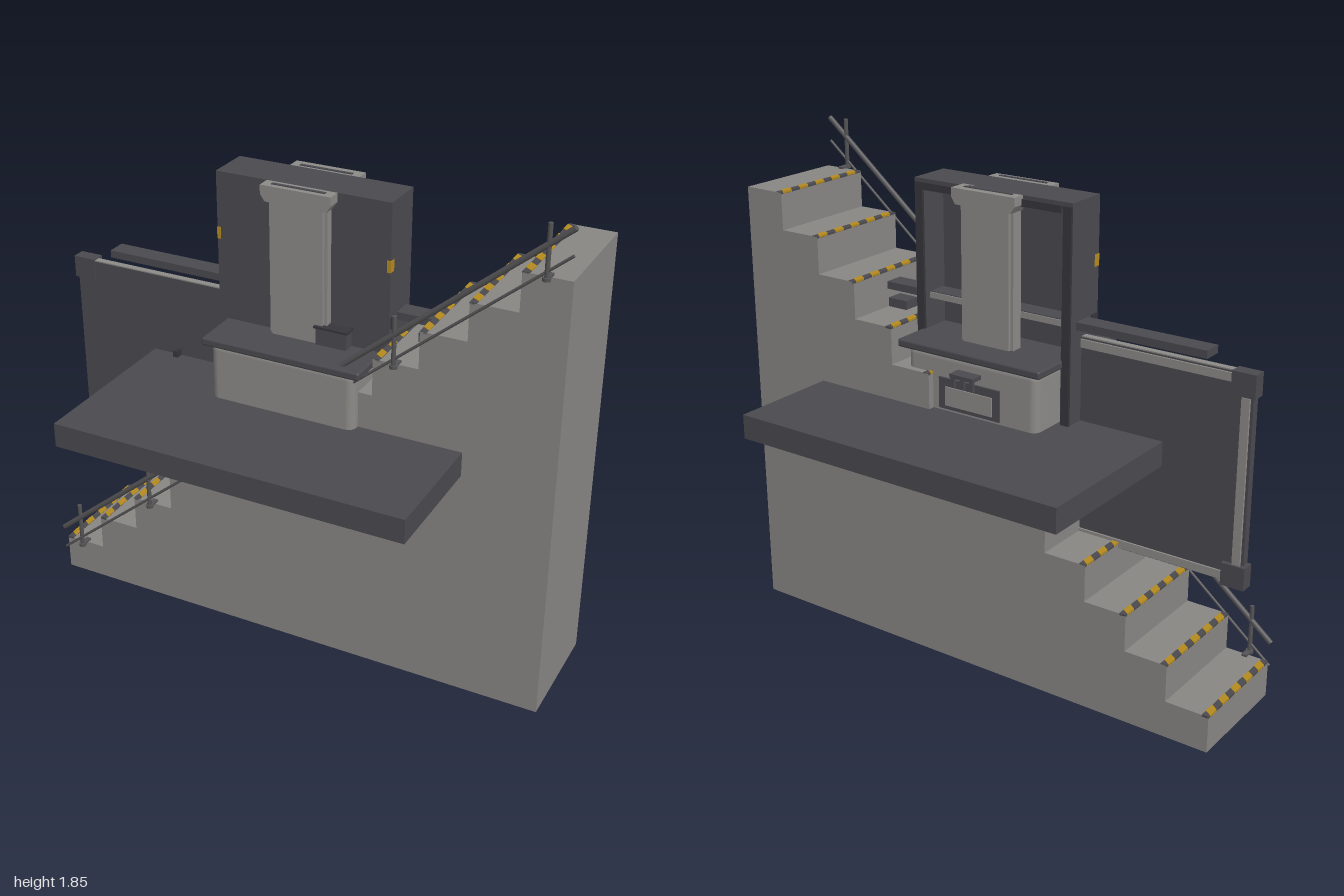
import * as THREE from 'three';
import { RoundedBoxGeometry } from 'three/addons/geometries/RoundedBoxGeometry.js';

const mat = (name, color) => {
  const m = new THREE.MeshStandardMaterial({ color });
  m.name = name;
  return m;
};

export function createModel() {
  const root = new THREE.Group();
  root.name = 'stairLift';
  const concrete = mat('concrete grey', 0x888683);
  const shell = mat('shell grey', 0x8c8a87);
  const dark = mat('charcoal', 0x4a494f);
  const steel = mat('rail steel', 0x545355);
  const yellow = mat('warning yellow', 0xb48a20);
  const black = mat('black trim', 0x36353a);

  const add = (name, geo, material, parent = root) => {
    const m = new THREE.Mesh(geo, material);
    m.name = name;
    parent.add(m);
    return m;
  };
  // Box given by its minimum and maximum on each axis
  const box = (name, material, x0, x1, y0, y1, z0, z1, parent = root) => {
    const m = add(name, new THREE.BoxGeometry(x1 - x0, y1 - y0, z1 - z0), material, parent);
    m.position.set((x0 + x1) / 2, (y0 + y1) / 2, (z0 + z1) / 2);
    return m;
  };
  const rounded = (name, material, x0, x1, y0, y1, z0, z1, r, parent = root) => {
    const m = add(name, new RoundedBoxGeometry(x1 - x0, y1 - y0, z1 - z0, 3, r), material, parent);
    m.position.set((x0 + x1) / 2, (y0 + y1) / 2, (z0 + z1) / 2);
    return m;
  };
  // Round bar between two points
  const bar = (name, material, a, b, r, parent = root) => {
    const p = new THREE.Vector3(...a), q = new THREE.Vector3(...b);
    const d = q.clone().sub(p);
    const m = add(name, new THREE.CylinderGeometry(r, r, d.length(), 12), material, parent);
    m.position.copy(p).add(q).multiplyScalar(0.5);
    m.quaternion.setFromUnitVectors(new THREE.Vector3(0, 1, 0), d.normalize());
    return m;
  };

  // Staircase: one stepped profile pushed along z
  const steps = 12, run = 0.1658, rise = 0.1385, zBack = -0.24, zFront = 0.2;
  const profile = new THREE.Shape();
  profile.moveTo(-1, 0);
  for (let i = 0; i < steps; i++) {
    profile.lineTo(-1 + i * run, (i + 1) * rise);
    profile.lineTo(-1 + (i + 1) * run, (i + 1) * rise);
  }
  profile.lineTo(-1 + steps * run, 0);
  const stairGeo = new THREE.ExtrudeGeometry(profile, { depth: zFront - zBack, bevelEnabled: false });
  stairGeo.translate(0, 0, zBack);
  add('staircase', stairGeo, concrete);

  // Hazard nosing on every tread: dark strip with slanted yellow bands
  const w = 0.026, band = new THREE.Shape();
  band.moveTo(0, 0);
  band.lineTo(w, 0.018);
  band.lineTo(w, 0.063);
  band.lineTo(0, 0.045);
  const bandGeo = new THREE.ExtrudeGeometry(band, { depth: 0.008, bevelEnabled: false });
  bandGeo.rotateX(Math.PI / 2);
  for (let i = 0; i < steps; i++) {
    const nosing = new THREE.Group();
    nosing.name = 'hazardNosing';
    nosing.position.set(-1.001 + i * run, (i + 1) * rise, 0);
    root.add(nosing);
    box('nosingStrip', dark, 0.0005, w, -0.006, 0.0015, zBack, zFront, nosing);
    for (let k = 0; k < 5; k++) {
      add('nosingBand', bandGeo, yellow, nosing).position.set(0, 0.003, zBack + 0.01 + k * 0.088);
    }
  }

  // Handrail, lower rail and their posts
  const railZ = 0.223;
  bar('handrail', steel, [-0.995, 0.2, railZ], [0.99, 1.845, railZ], 0.01);
  bar('lowerRail', steel, [-0.995, 0.108, railZ], [0.99, 1.755, railZ], 0.005);
  for (const [x, n] of [[-0.915, 1], [-0.583, 3], [0.412, 9], [0.91, 12]]) {
    const y = n * rise;
    bar('railPost', steel, [x, y, railZ], [x, y + 0.185, railZ], 0.008);
    bar('railPostFoot', steel, [x, y - 0.004, railZ], [x, y + 0.008, railZ], 0.014);
    box('railPostBracket', steel, x - 0.01, x + 0.01, y, y + 0.008, 0.18, railZ);
  }

  // Landing deck: shallow tray, hollow underneath
  const deck = new THREE.Group();
  deck.name = 'deck';
  root.add(deck);
  const D = 0.66, t = 0.022;
  box('deckTop', dark, -D, D, 0.935, 0.975, -D, D, deck);
  for (const s of [-1, 1]) {
    const c = s * (D - t / 2);
    box('deckEdgeSide', dark, c - t / 2, c + t / 2, 0.885, 0.935, -D, D, deck);
    box('deckEdgeFace', dark, -D + t, D - t, 0.885, 0.935, c - t / 2, c + t / 2, deck);
  }

  // Tower: front panel with a frame open to the back
  box('towerPanel', dark, -0.33, 0.33, 0.6, 1.757, 0.025, 0.08);
  for (const s of [-1, 1]) {
    const c = s * 0.31;
    box('towerPost', dark, c - 0.02, c + 0.02, 0.6, 1.757, -0.085, 0.025);
    box('towerPostTrim', black, c - 0.02, c + 0.012, 0.6, 1.745, -0.095, -0.085);
    box('towerMarker', yellow, s * 0.324 - 0.007, s * 0.324 + 0.007, 1.51, 1.553, 0.055, 0.082);
    box('towerLatch', black, s * 0.328 - 0.006, s * 0.328 + 0.006, 1.30, 1.345, 0.04, 0.07);
  }
  box('towerTopBeam', dark, -0.29, 0.29, 1.715, 1.757, -0.085, 0.025);
  box('towerTopTrim', black, -0.29, 0.29, 1.72, 1.745, -0.095, -0.085);

  // Light columns with tapered caps on both faces
  const capShape = new THREE.Shape();
  capShape.moveTo(-0.115, 1.70);
  capShape.lineTo(0.115, 1.70);
  capShape.lineTo(0.132, 1.725);
  capShape.lineTo(0.132, 1.757);
  capShape.lineTo(-0.132, 1.757);
  capShape.lineTo(-0.132, 1.725);
  for (const [z0, z1, front] of [[0.08, 0.13, true], [-0.135, -0.065, false]]) {
    const column = new THREE.Group();
    column.name = front ? 'frontColumn' : 'backColumn';
    root.add(column);
    const a = front ? z0 : z0 + 0.015, b = front ? z1 - 0.012 : z1;
    box('columnCore', shell, -0.097, 0.097, 1.19, 1.71, a, b, column);
    for (const s of [-1, 1]) {
      box('columnFlange', shell, s * 0.104 - 0.006, s * 0.104 + 0.006, 1.19, 1.71,
        front ? a : a + 0.01, front ? b - 0.01 : b, column);
    }
    const capGeo = new THREE.ExtrudeGeometry(capShape, { depth: z1 - z0, bevelEnabled: false });
    capGeo.translate(0, 0, z0);
    add('columnCap', capGeo, shell, column);
    const mid = (z0 + z1) / 2;
    box('columnCapSlot', dark, -0.1, 0.1, 1.752, 1.76, mid - 0.006, mid + 0.006, column);
  }

  // Carriage body with dark base lip
  rounded('carriageBody', shell, -0.28, 0.275, 0.59, 1.19, -0.215, 0.24, 0.03);
  rounded('carriageBase', black, -0.275, 0.272, 0.573, 0.66, -0.205, 0.236, 0.028);
  for (const x of [-0.16, 0.16]) rounded('baseBumper', dark, x - 0.065, x + 0.065, 0.578, 0.602, 0.2, 0.243, 0.009);
  box('bodyMark', black, -0.1, -0.075, 0.836, 0.844, 0.235, 0.243);

  // Control shelf around the tower, with control box
  rounded('shelf', dark, -0.303, 0.303, 1.18, 1.21, -0.235, 0.26, 0.008);
  box('controlBox', dark, 0.075, 0.19, 1.21, 1.275, 0.08, 0.125);
  box('controlBoxLid', black, 0.068, 0.197, 1.272, 1.28, 0.08, 0.13);

  // Latch and recess on the back of the carriage
  box('backRecess', dark, -0.13, 0.13, 0.985, 1.1, -0.222, -0.21);
  box('backRecessPlate', shell, -0.1, 0.1, 1.0, 1.07, -0.227, -0.22);
  box('latchArm', dark, -0.05, 0.05, 1.125, 1.14, -0.265, -0.21);
  for (const x of [-0.04, 0, 0.04]) box('latchTooth', dark, x - 0.008, x + 0.008, 1.09, 1.13, -0.262, -0.25);
  box('stairHandle', steel, -0.14, 0.08, 0.775, 0.785, -0.247, -0.238);

  // Sliding leaf with light frame strips on its back
  box('slidingLeaf', dark, -0.985, -0.3, 0.53, 1.28, -0.018, 0.012);
  box('leafTopStrip', shell, -0.91, -0.33, 1.245, 1.275, -0.025, -0.018);
  box('leafBottomStrip', shell, -0.91, -0.33, 0.535, 0.565, -0.025, -0.018);
  box('leafEndStrip', shell, -0.975, -0.945, 0.6, 1.2, -0.027, -0.018);
  box('leafTopEdge', shell, -0.985, -0.33, 1.28, 1.284, -0.015, 0.01);
  for (const y of [0.52, 1.205]) box('leafCorner', dark, -0.998, -0.91, y, y + 0.083, -0.035, 0.015);
  box('leafHandle', black, -0.565, -0.545, 0.9, 1.0, 0.012, 0.04);

  // Overhead guide rail through the tower
  box('guideRail', dark, -0.83, 0.495, 1.315, 1.343, -0.055, 0.018);
  box('guideRailStrip', shell, -0.29, 0.29, 1.318, 1.34, -0.06, -0.055);
  box('guideRailStop', dark, 0.41, 0.495, 1.246, 1.28, -0.05, 0.015);

  return root;
}
